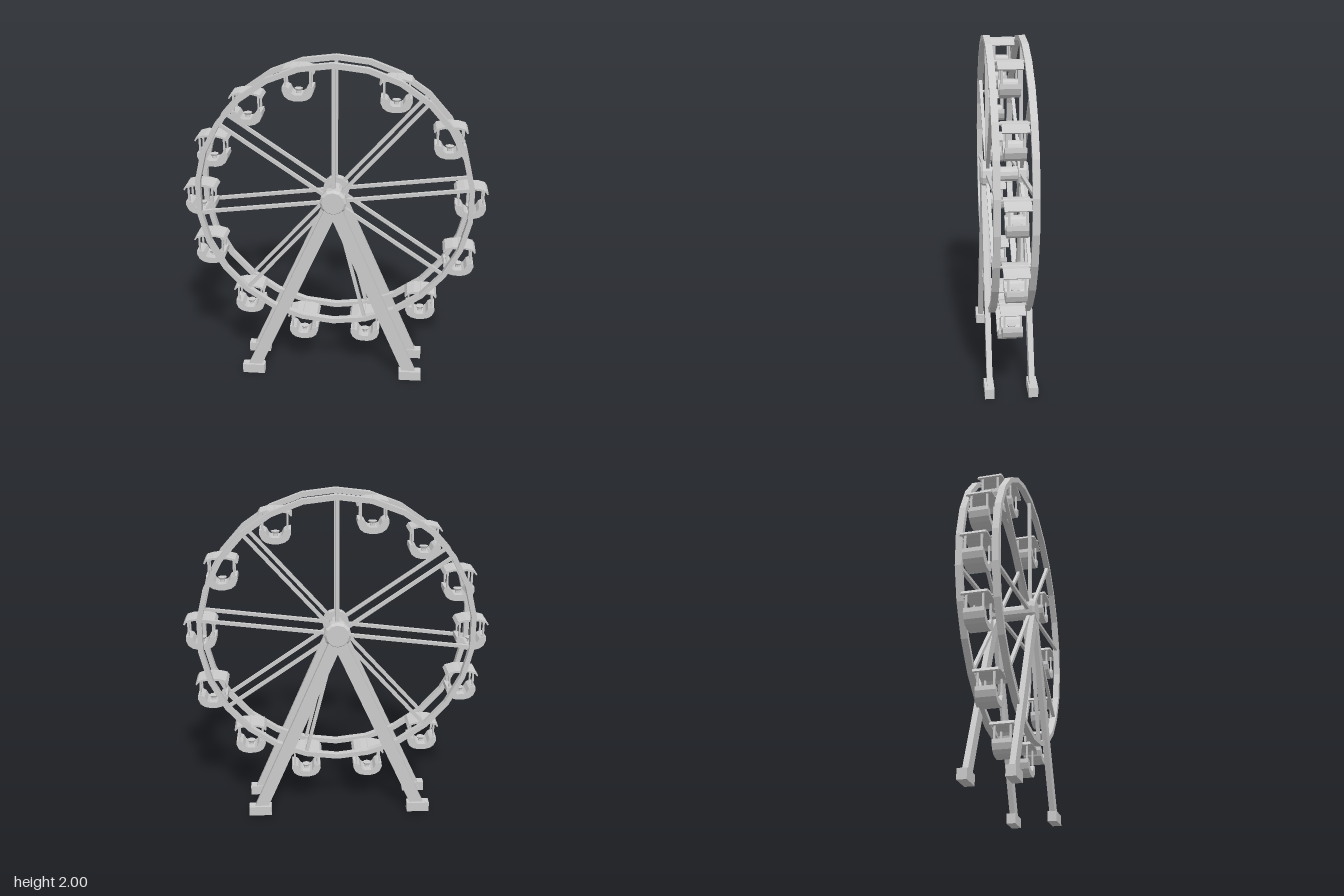
import * as THREE from 'three';

const material = new THREE.MeshStandardMaterial({ color: 0xcccccc, flatShading: true });
const HUB_Y = 1.185, RIM_R = 0.815, RIM_STEPS = 26;

function add(parent, name, geometry, x = 0, y = 0, z = 0) {
  const mesh = new THREE.Mesh(geometry, material);
  mesh.name = name;
  mesh.position.set(x, y, z);
  parent.add(mesh);
  return mesh;
}

// Square beam between two points of a plane of constant z
function beam(parent, name, x0, y0, x1, y1, z, width, depth) {
  const length = Math.hypot(x1 - x0, y1 - y0);
  const mesh = add(parent, name, new THREE.BoxGeometry(width, length, depth), (x0 + x1) / 2, (y0 + y1) / 2, z);
  mesh.rotation.z = Math.atan2(y1 - y0, x1 - x0) - Math.PI / 2;
  return mesh;
}

// Extrusion centred on z = 0
function slab(shape, depth) {
  const g = new THREE.ExtrudeGeometry(shape, { depth, bevelEnabled: false });
  return g.translate(0, 0, -depth / 2);
}

function ringPoints(radius) {
  return Array.from({ length: RIM_STEPS }, (_, i) => {
    const a = Math.PI / 2 + (i / RIM_STEPS) * Math.PI * 2;
    return new THREE.Vector2(radius * Math.cos(a), radius * Math.sin(a));
  });
}

// Profile given by its right half, from the outside round to the middle, then mirrored
function mirrored(half) {
  const left = half.map(([x, y]) => [-x, y]).reverse();
  return half.concat(left).map(([x, y]) => new THREE.Vector2(x, y));
}

// Gondola geometries, origin at the hanging rod
const tubShape = new THREE.Shape([
  ...mirrored([[0.022, -0.158], [0.036, -0.148], [0.05, -0.122], [0.066, -0.112], [0.088, -0.11]].reverse()),
  ...mirrored([[0.09, -0.135], [0.076, -0.168], [0.052, -0.186], [0.02, -0.194]]).reverse(),
]);
const roofShape = new THREE.Shape([
  ...mirrored([[0.097, -0.03], [0.084, -0.01], [0.04, 0.002]]),
  ...mirrored([[0.09, -0.036], [0.078, -0.02], [0.038, -0.01]]).reverse(),
]);
const tubGeometry = slab(tubShape, 0.112);
const roofGeometry = slab(roofShape, 0.14);
const postGeometry = new THREE.BoxGeometry(0.011, 0.12, 0.011);
const tableGeometry = new THREE.CylinderGeometry(0.026, 0.02, 0.012, 8);
const tableStemGeometry = new THREE.CylinderGeometry(0.012, 0.016, 0.03, 8);
const rodGeometry = new THREE.CylinderGeometry(0.008, 0.008, 0.18, 6).rotateX(Math.PI / 2);

function gondola() {
  const g = new THREE.Group();
  g.name = 'gondola';
  add(g, 'hangingRod', rodGeometry, 0, -0.004, 0);
  add(g, 'canopy', roofGeometry);
  add(g, 'tub', tubGeometry);
  add(g, 'tableTop', tableGeometry, 0, -0.136, 0);
  add(g, 'tableStem', tableStemGeometry, 0, -0.152, 0);
  for (const x of [-0.071, 0.071])
    for (const z of [-0.045, 0.045]) add(g, 'canopyPost', postGeometry, x, -0.075, z);
  return g;
}

export function createModel() {
  const model = new THREE.Group();
  model.name = 'ferrisWheel';

  // Axle
  add(model, 'axle', new THREE.CylinderGeometry(0.045, 0.045, 0.24, 12).rotateX(Math.PI / 2), 0, HUB_Y, 0);

  const rim = new THREE.Shape(ringPoints(RIM_R));
  rim.holes.push(new THREE.Path(ringPoints(RIM_R - 0.03).reverse()));
  const rimGeometry = slab(rim, 0.038);
  const capProfile = [[0, -0.03], [0.08, -0.03], [0.08, 0.018], [0.066, 0.032], [0, 0.032]];
  const capGeometry = new THREE.LatheGeometry(capProfile.map(([r, y]) => new THREE.Vector2(r, y)), 12);

  for (const side of [1, -1]) {
    // Rim and spokes
    add(model, 'rim', rimGeometry, 0, HUB_Y, side * 0.1);
    for (const step of [0, 3, 6, 9, 12, 16, 19, 22]) {
      const a = Math.PI / 2 - (step / RIM_STEPS) * Math.PI * 2;
      beam(model, 'spoke', 0, HUB_Y, 0.795 * Math.cos(a), HUB_Y + 0.795 * Math.sin(a), side * 0.1, 0.02, 0.02);
    }
    // Hub cap
    add(model, 'hubCap', capGeometry, 0, HUB_Y, side * 0.11).rotation.x = side * Math.PI / 2;
    // Legs and footings
    for (const x of [-0.505, 0.483]) {
      beam(model, 'leg', x, 0.035, 0, HUB_Y - 0.02, side * 0.122, 0.076, 0.032);
      add(model, 'footing', new THREE.BoxGeometry(0.138, 0.06, 0.055), x, 0.03, side * 0.126);
    }
  }

  // Gondolas hang upright at uneven angles round the rim
  const angles = [6.6, 34.7, 64.3, 104.8, 128.7, 152.6, 175.7, 199.4, 228.8, 256.1, 283.9, 311.5, 339];
  for (const degrees of angles) {
    const a = THREE.MathUtils.degToRad(degrees);
    const g = gondola();
    g.position.set(0.8 * Math.cos(a), HUB_Y + 0.8 * Math.sin(a), 0);
    model.add(g);
  }
  return model;
}
